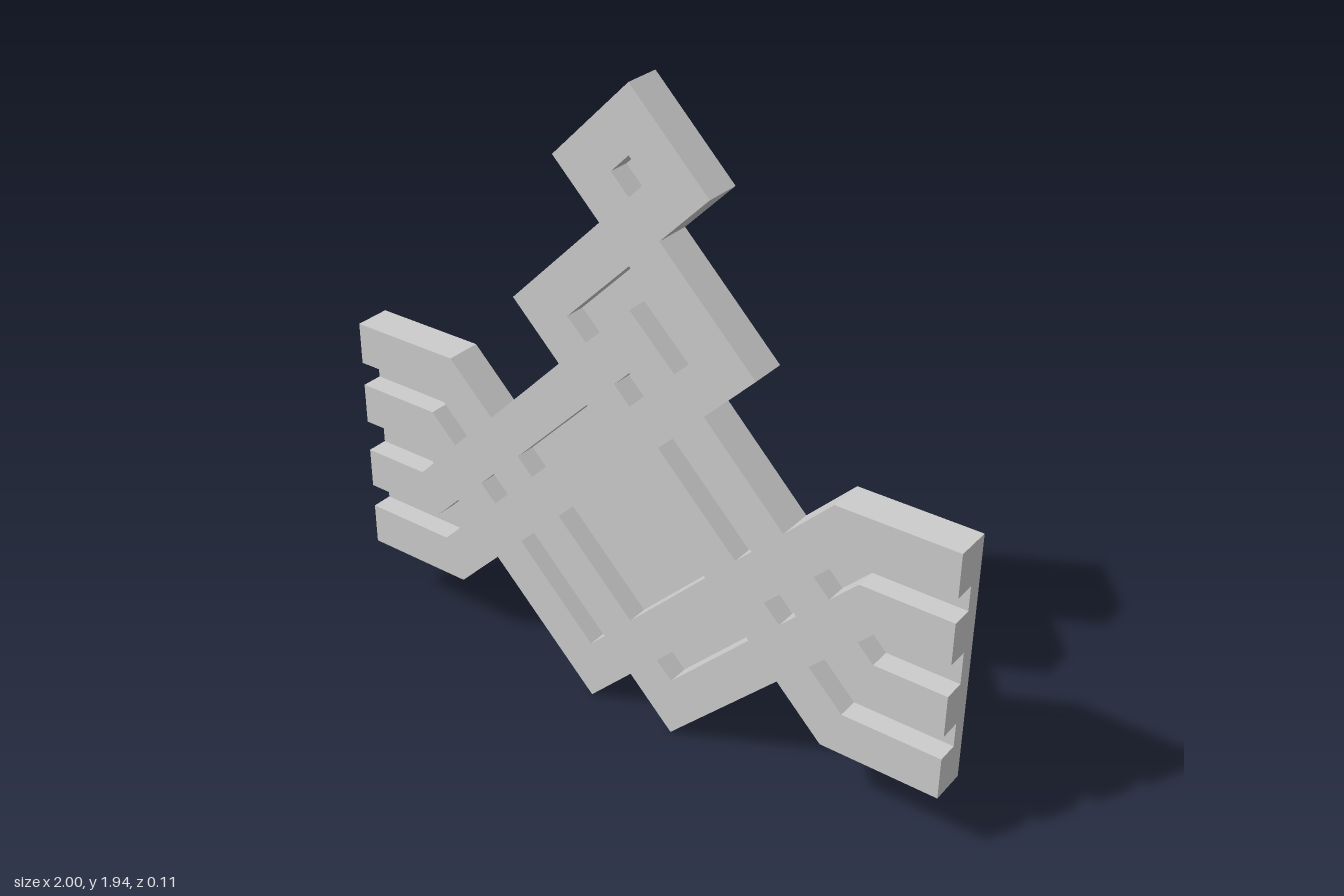
import * as THREE from 'three';

const MID = 0.589;              // height of the arms' centre line
const BACK = -0.055, FLOOR = -0.01, FRONT = 0.055;

const points = (list) => list.map(([x, y]) => new THREE.Vector2(x, y));
const mirrorX = (list) => list.map(([x, y]) => [-x, y]).reverse();
const mirrorY = (list) => list.map(([x, y]) => [x, 2 * MID - y]).reverse();
const diamond = (x, y, r) => [[x, y + r], [x + r, y], [x, y - r], [x - r, y]];

// Closed counter-clockwise outline from its right half, given from top centre to bottom centre
const symmetric = (half) =>
  new THREE.Shape(points([...half, ...mirrorX(half.slice(1, -1))]).reverse());

export function createModel() {
  const group = new THREE.Group();
  const material = new THREE.MeshStandardMaterial({ color: 0xcccccc, flatShading: true });

  const addPlate = (name, shape, z0, z1) => {
    const geometry = new THREE.ExtrudeGeometry(shape, { depth: z1 - z0, bevelEnabled: false });
    geometry.translate(0, 0, z0);
    const mesh = new THREE.Mesh(geometry, material);
    mesh.name = name;
    group.add(mesh);
  };

  // Stepped tower, arm and foot of the right half
  const tower = [[0, 1.937], [0.245, 1.692], [0.095, 1.542], [0.395, 1.242],
    [0.24, 1.087], [0.495, 0.828], [0.64, 0.973], [1, 0.973]];
  const foot = [[1, 0.205], [0.64, 0.205], [0.495, 0.35], [0.144, 0], [0, 0.144]];

  // Grooves that run out through the end of the arm
  const bentGroove = [[1, 0.842], [0.7, 0.842], [0.592, 0.734],
    [0.642, 0.684], [0.725, 0.767], [1, 0.767]];
  const pointedGroove = [[1, 0.639], [0.783, 0.639], [0.733, MID], [0.783, 0.539], [1, 0.539]];

  // Closed recesses
  const slot = [[0.145, 0.991], [0.4, 0.734], [0.35, 0.684], [0.094, 0.941]];
  const chevron = [[0, 1.447], [0.207, 1.241], [0.145, 1.181], [0, 1.322],
    [-0.145, 1.181], [-0.207, 1.241]];
  const recesses = [
    slot, mirrorX(slot), mirrorY(slot), mirrorX(mirrorY(slot)),
    chevron,
    diamond(0, MID, 0.255),
    diamond(0.495, MID, 0.051), diamond(-0.495, MID, 0.051),
    diamond(0, 1.086, 0.051), diamond(0, 1.692, 0.056),
  ];

  addPlate('backPlate', symmetric([...tower, ...foot]), BACK, FLOOR);

  const face = symmetric([...tower, ...bentGroove, ...pointedGroove, ...mirrorY(bentGroove), ...foot]);
  face.holes = recesses.map((r) => new THREE.Path(points(r)));
  addPlate('engravedFace', face, FLOOR, FRONT);

  return group;
}
